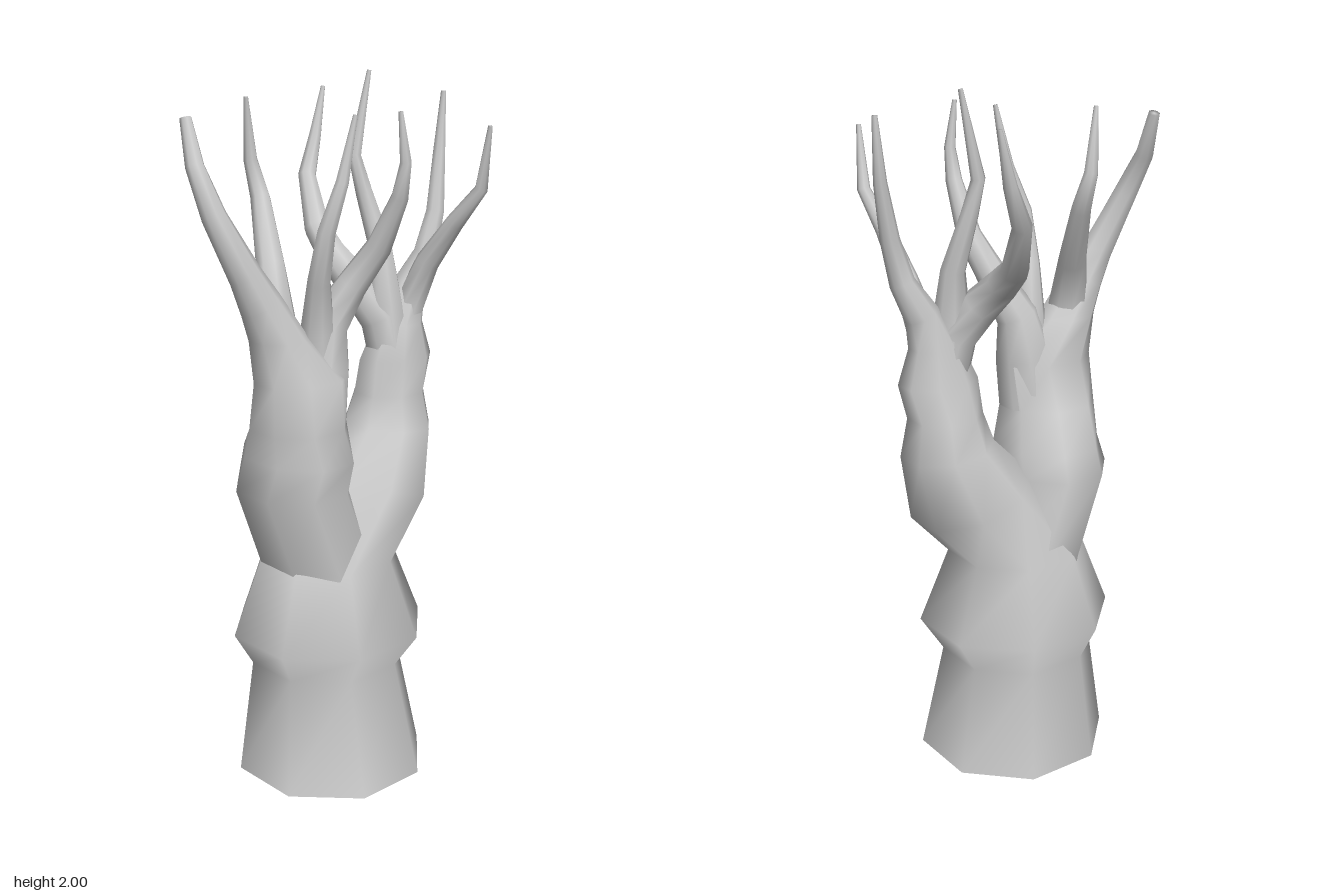
import * as THREE from 'three';

const SIDES = 8;
const UP = new THREE.Vector3(0, 1, 0);
const SIDEWAYS = new THREE.Vector3(0, 0, 1);
const material = new THREE.MeshStandardMaterial({ color: 0xcccccc, side: THREE.DoubleSide });

// Skin a row of octagonal rings [x, y, z, halfWidth, halfDepth, lean].
// The first "level" rings lie flat (or lean sideways); the rest turn along the path.
function skin(name, rings, level = 0) {
  const pos = [], index = [];
  const centres = rings.map(([x, y, z]) => new THREE.Vector3(x, y, z));
  const q = new THREE.Quaternion();
  rings.forEach(([, , , rx, rz = rx, lean = 0], i) => {
    if (i < level) {
      q.setFromAxisAngle(SIDEWAYS, lean);
    } else {
      const a = centres[Math.max(i - 1, 0)], b = centres[Math.min(i + 1, rings.length - 1)];
      q.setFromUnitVectors(UP, b.clone().sub(a).normalize());
    }
    const k = 1 / Math.cos(Math.PI / SIDES);
    for (let s = 0; s < SIDES; s++) {
      const t = ((s + 0.58) / SIDES) * Math.PI * 2;
      const p = new THREE.Vector3(Math.sin(t) * rx * k, 0, Math.cos(t) * rz * k);
      p.applyQuaternion(q).add(centres[i]);
      pos.push(p.x, p.y, p.z);
    }
  });
  for (let i = 0; i < rings.length - 1; i++) {
    for (let s = 0; s < SIDES; s++) {
      const a = i * SIDES + s, b = i * SIDES + ((s + 1) % SIDES);
      index.push(a, b, b + SIDES, a, b + SIDES, a + SIDES);
    }
  }
  // Close the far end with a fan
  const last = (rings.length - 1) * SIDES, tip = pos.length / 3;
  pos.push(...centres[rings.length - 1].toArray());
  for (let s = 0; s < SIDES; s++) index.push(last + s, last + ((s + 1) % SIDES), tip);

  const g = new THREE.BufferGeometry();
  g.setAttribute('position', new THREE.Float32BufferAttribute(pos, 3));
  g.setIndex(index);
  g.computeVertexNormals();
  const mesh = new THREE.Mesh(g, material);
  mesh.name = name;
  return mesh;
}

export function createModel() {
  const tree = new THREE.Group();
  tree.name = 'bareTree';

  // Trunk: flared open foot, swollen collar and waist, running on into the left limb and its outer branch
  tree.add(skin('trunkAndLeftLimb', [
    [-0.012, 0, 0.045, 0.262, 0.262],
    [-0.015, 0.33, 0.025, 0.21, 0.203],
    [-0.015, 0.43, 0.037, 0.268, 0.254],
    [-0.015, 0.65, 0.032, 0.188, 0.182],
    [0.135, 0.84, 0.033, 0.17, 0.165, -0.32],
    [0.21, 1.0, 0.03, 0.125, 0.12, -0.1],
    [0.215, 1.1, 0.03, 0.1, 0.095],
    [0.23, 1.2, 0.04, 0.108, 0.08],
    [0.235, 1.3, 0.045, 0.07, 0.06],
    [0.28, 1.4, 0.035, 0.045, 0.045],
    [0.325, 1.49, 0.055, 0.033],
    [0.355, 1.61, 0.06, 0.025],
    [0.393, 1.77, 0.03, 0.017],
    [0.4, 1.94, 0.035, 0.007],
  ], 9));

  // Right limb: rises out of the trunk and runs on into its outer branch
  tree.add(skin('rightLimb', [
    [-0.03, 0.45, 0.035, 0.15, 0.15],
    [-0.055, 0.65, 0.03, 0.15, 0.172],
    [-0.14, 0.88, 0.03, 0.148, 0.165],
    [-0.115, 0.97, 0.025, 0.138, 0.172],
    [-0.148, 1.07, 0.07, 0.13, 0.13],
    [-0.135, 1.2, 0.07, 0.133, 0.1],
    [-0.205, 1.32, 0.06, 0.078, 0.075],
    [-0.26, 1.42, 0.055, 0.055],
    [-0.3, 1.5, 0.045, 0.043],
    [-0.378, 1.66, 0.02, 0.032],
    [-0.38, 1.78, -0.06, 0.024],
    [-0.375, 1.9, -0.105, 0.015],
  ], 7));

  // Branches, each tapering and bending to its tip
  const branches = {
    rightBackBranch: [
      [-0.18, 1.15, 0.07, 0.06], [-0.205, 1.36, 0.05, 0.052], [-0.17, 1.5, -0.02, 0.038],
      [-0.122, 1.67, -0.13, 0.026], [-0.135, 1.77, -0.155, 0.018], [-0.163, 1.94, -0.133, 0.006],
    ],
    rightMiddleBranch: [
      [-0.08, 1.1, 0.07, 0.06], [-0.09, 1.33, 0.08, 0.045], [-0.115, 1.47, 0.12, 0.031],
      [-0.125, 1.61, 0.165, 0.024], [-0.08, 1.74, 0.175, 0.017], [-0.05, 1.91, 0.19, 0.006],
    ],
    rightFrontBranch: [
      [-0.09, 1.08, 0.07, 0.085], [-0.07, 1.22, 0.07, 0.078], [-0.045, 1.34, 0.07, 0.056],
      [0.01, 1.45, 0.11, 0.041], [0.045, 1.56, 0.18, 0.033], [0.045, 1.7, 0.26, 0.022],
      [0.045, 1.79, 0.28, 0.015], [0.032, 1.92, 0.272, 0.006],
    ],
    leftBackBranch: [
      [0.22, 1.15, 0.045, 0.06], [0.175, 1.32, 0.035, 0.056], [0.13, 1.42, -0.03, 0.05],
      [0.105, 1.49, -0.1, 0.042], [0.125, 1.55, -0.19, 0.036], [0.165, 1.69, -0.29, 0.025],
      [0.215, 1.8, -0.315, 0.017], [0.245, 1.94, -0.315, 0.006],
    ],
    leftTallBranch: [
      [0.21, 1.12, 0.045, 0.065], [0.185, 1.36, 0.04, 0.05], [0.2, 1.52, 0.0, 0.032],
      [0.165, 1.67, -0.03, 0.023], [0.155, 1.77, -0.06, 0.018], [0.2, 2.0, -0.053, 0.006],
    ],
    leftFrontBranch: [
      [0.24, 1.15, 0.045, 0.05], [0.265, 1.35, 0.055, 0.042], [0.285, 1.48, 0.11, 0.032],
      [0.295, 1.6, 0.205, 0.024], [0.315, 1.7, 0.285, 0.017], [0.306, 1.87, 0.32, 0.006],
    ],
  };
  for (const [name, rings] of Object.entries(branches)) tree.add(skin(name, rings));

  return tree;
}
